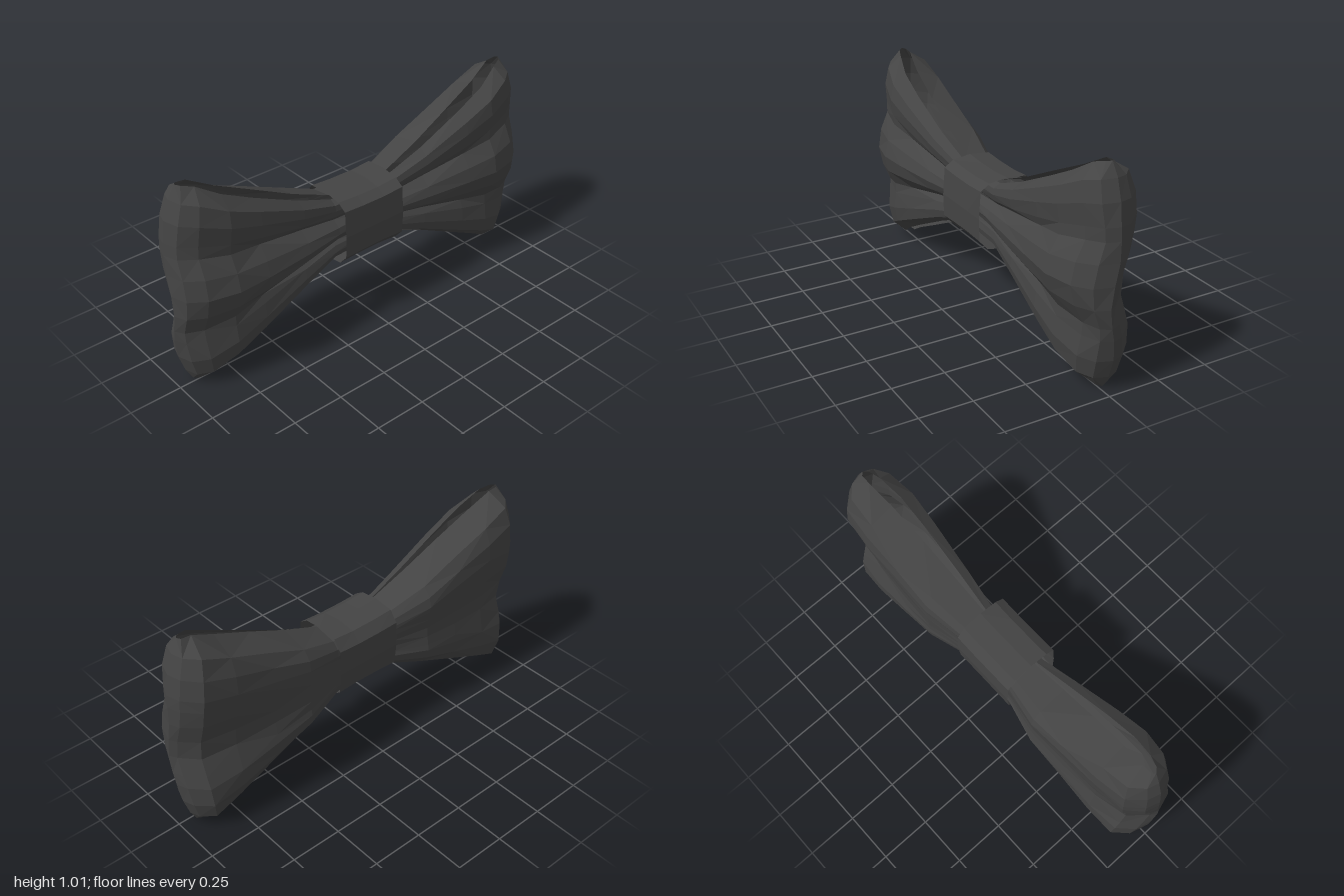
import * as THREE from 'three';

const MID = 0.507; // height of the bow's centre line

// Rows across the fabric (0 = middle, 1 = edge) and how far each bulges outwards
const ROWS = [0, 0.2, 0.38, 0.5, 0.7, 0.88, 1];
const FRONT = [1, 0.84, 0.5, 0.52, 0.62, 0.52, 0];
const BACK = [0.95, 0.96, 0.98, 1, 0.95, 0.75, 0];

// Columns round one loop, from knot to fold to knot:
// x, half height, edge z, bulge z, pleat depth, dent depth, profile
const COLUMNS = [
  [0, 0.15, 0.035, 0.09, 0.1, 0, FRONT],
  [0.17, 0.155, 0.035, 0.1, 0.2, 0, FRONT],
  [0.36, 0.23, 0.045, 0.13, 0.25, 0, FRONT],
  [0.6, 0.345, 0.05, 0.16, 0.12, 0, FRONT],
  [0.76, 0.42, 0.045, 0.173, 0, 0, FRONT],
  [0.9, 0.485, 0.02, 0.14, 0, 0, FRONT],
  [0.975, 0.499, 0.0, 0.075, 0, 0.01, FRONT],
  [1.0, 0.503, -0.02, -0.03, 0, 0.04, FRONT],
  [0.98, 0.5, -0.035, -0.09, 0, 0.07, BACK],
  [0.91, 0.495, -0.035, -0.16, 0, 0.06, BACK],
  [0.75, 0.43, -0.015, -0.173, 0, 0.035, BACK],
  [0.55, 0.34, 0.0, -0.17, 0, 0.01, BACK],
  [0.36, 0.248, 0.012, -0.17, 0, 0, BACK],
  [0.17, 0.17, 0.02, -0.13, 0, 0, BACK],
  [0, 0.16, 0.02, -0.12, 0, 0, BACK],
];

// Surface through equally long columns of [x, y, z] points
function skin(columns, flip) {
  const rows = columns[0].length;
  const index = [];
  for (let c = 0; c < columns.length - 1; c++) {
    for (let r = 0; r < rows - 1; r++) {
      const a = c * rows + r;
      const b = a + rows;
      const tris = (c + r) % 2
        ? [[a, b, b + 1], [a, b + 1, a + 1]]
        : [[a, b, a + 1], [b, b + 1, a + 1]];
      for (const [i, j, k] of tris) index.push(...(flip ? [i, k, j] : [i, j, k]));
    }
  }
  const geometry = new THREE.BufferGeometry();
  geometry.setAttribute('position', new THREE.Float32BufferAttribute(columns.flat(2), 3));
  geometry.setIndex(index);
  geometry.computeVertexNormals();
  return geometry;
}

// One fabric loop, open above and below; side is +1 for left, -1 for right
function loopGeometry(side) {
  const last = ROWS.length - 1;
  const columns = COLUMNS.map(([x, half, edge, bulge, pleat, dent, profile], c) => {
    const points = [];
    for (let k = -last; k <= last; k++) {
      const a = Math.abs(k);
      const v = Math.sign(k) * ROWS[a];
      // the pleats sink deeper on the way to the knot
      const p = profile[a] - (a === 2 ? pleat : 0);
      // the back is pressed in beside the fold
      const hollow = dent * Math.exp(-(((v + 0.15) / 0.3) ** 2));
      const wobble = 0.004 * Math.sin(c * 1.3 + k * 1.1 + side) * (1 - v * v);
      // the outer fold rounds back towards its corners
      const round = 1 - 0.08 * v ** 4 * Math.max(0, (x - 0.7) / 0.3);
      points.push([side * x * round, MID + v * half, edge + (bulge - edge) * p + hollow + wobble]);
    }
    return points;
  });
  return skin(columns, side < 0);
}

// Chamfered open band round the middle, slightly pinched between its two rims
function knotGeometry() {
  const outline = [
    [0.142, 0.4], [0.145, 0.51], [0.135, 0.64], [0.09, 0.67], [0, 0.682], [-0.1, 0.672],
    [-0.14, 0.62], [-0.145, 0.5], [-0.135, 0.39], [-0.08, 0.345], [0, 0.336], [0.1, 0.352],
  ];
  outline.push(outline[0]);
  const rims = [[-0.17, 1], [-0.06, 0.96], [0.06, 0.95], [0.17, 1]];
  return skin(rims.map(([x, s]) => outline.map(([z, y]) => [x, MID + (y - MID) * s, z])), false);
}

export function createModel() {
  const model = new THREE.Group();
  model.name = 'bowTie';
  const fabric = new THREE.MeshStandardMaterial({
    color: 0x444444, flatShading: true, side: THREE.DoubleSide,
  });
  const add = (name, geometry) => {
    const mesh = new THREE.Mesh(geometry, fabric);
    mesh.name = name;
    model.add(mesh);
  };
  add('leftLoop', loopGeometry(1));
  add('rightLoop', loopGeometry(-1));
  add('knot', knotGeometry());
  return model;
}
